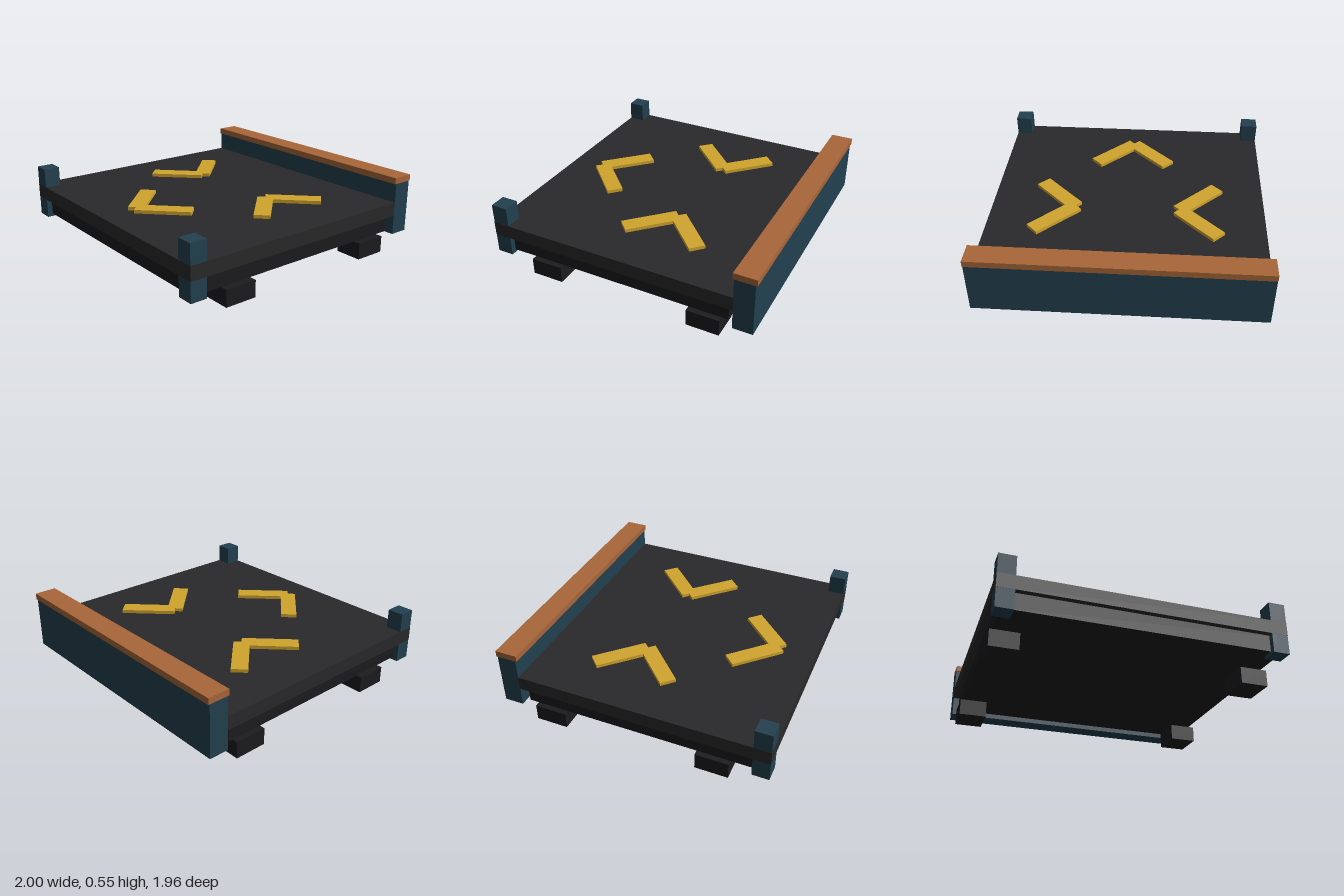
import * as THREE from 'three';

const mat = (color) => new THREE.MeshStandardMaterial({ color });

export function createModel() {
  const model = new THREE.Group();
  const deckMat = mat(0x29292b);
  const baseMat = mat(0x1c1c1f);
  const blueMat = mat(0x23404f);
  const woodMat = mat(0xa86639);
  const goldMat = mat(0xd1a52e);

  // Box given by its extents on each axis
  const box = (name, material, [x0, x1], [y0, y1], [z0, z1], parent = model) => {
    const mesh = new THREE.Mesh(new THREE.BoxGeometry(x1 - x0, y1 - y0, z1 - z0), material);
    mesh.position.set((x0 + x1) / 2, (y0 + y1) / 2, (z0 + z1) / 2);
    mesh.name = name;
    parent.add(mesh);
    return mesh;
  };

  // Platform and the recessed frame under it
  box('deck', deckMat, [-1, 1], [0.26, 0.36], [-0.83, 0.98]);
  box('underFrame', baseMat, [-0.96, 0.96], [0.14, 0.26], [-0.79, 0.94]);

  // Rear board with its wooden cap
  box('rearBoard', blueMat, [-1, 1], [0.12, 0.5], [-0.97, -0.83]);
  box('rearCap', woodMat, [-1, 1], [0.5, 0.545], [-0.98, -0.82]);

  // Front corner posts (a hair inside the deck edge) and four feet
  for (const [side, s] of [['left', 1], ['right', -1]]) {
    const span = (a, b) => (s > 0 ? [a, b] : [-b, -a]);
    box(`${side}FrontPost`, blueMat, span(0.88, 0.999), [0.12, 0.5], [0.86, 0.979]);
    box(`${side}FrontFoot`, baseMat, span(0.78, 0.98), [0, 0.12], [0.465, 0.7]);
    box(`${side}RearFoot`, baseMat, span(0.78, 0.98), [0, 0.12], [-0.735, -0.5]);
  }

  // Chevron of two crossed bars, pointing to +z before it is turned
  const chevron = (name, x, z, turn) => {
    const group = new THREE.Group();
    group.name = name;
    for (const s of [1, -1]) {
      const bar = box('chevronBar', goldMat, [-0.2, 0.2], [0.36, 0.385], [-0.0575, 0.0575], group);
      bar.position.x = s * 0.141;
      bar.rotation.y = (s * Math.PI) / 4;
    }
    group.position.set(x, 0, z);
    group.rotation.y = turn;
    model.add(group);
  };
  chevron('frontChevron', 0, 0.578, 0);
  chevron('leftChevron', 0.52, -0.143, -Math.PI / 2);
  chevron('rightChevron', -0.52, -0.143, Math.PI / 2);

  return model;
}
